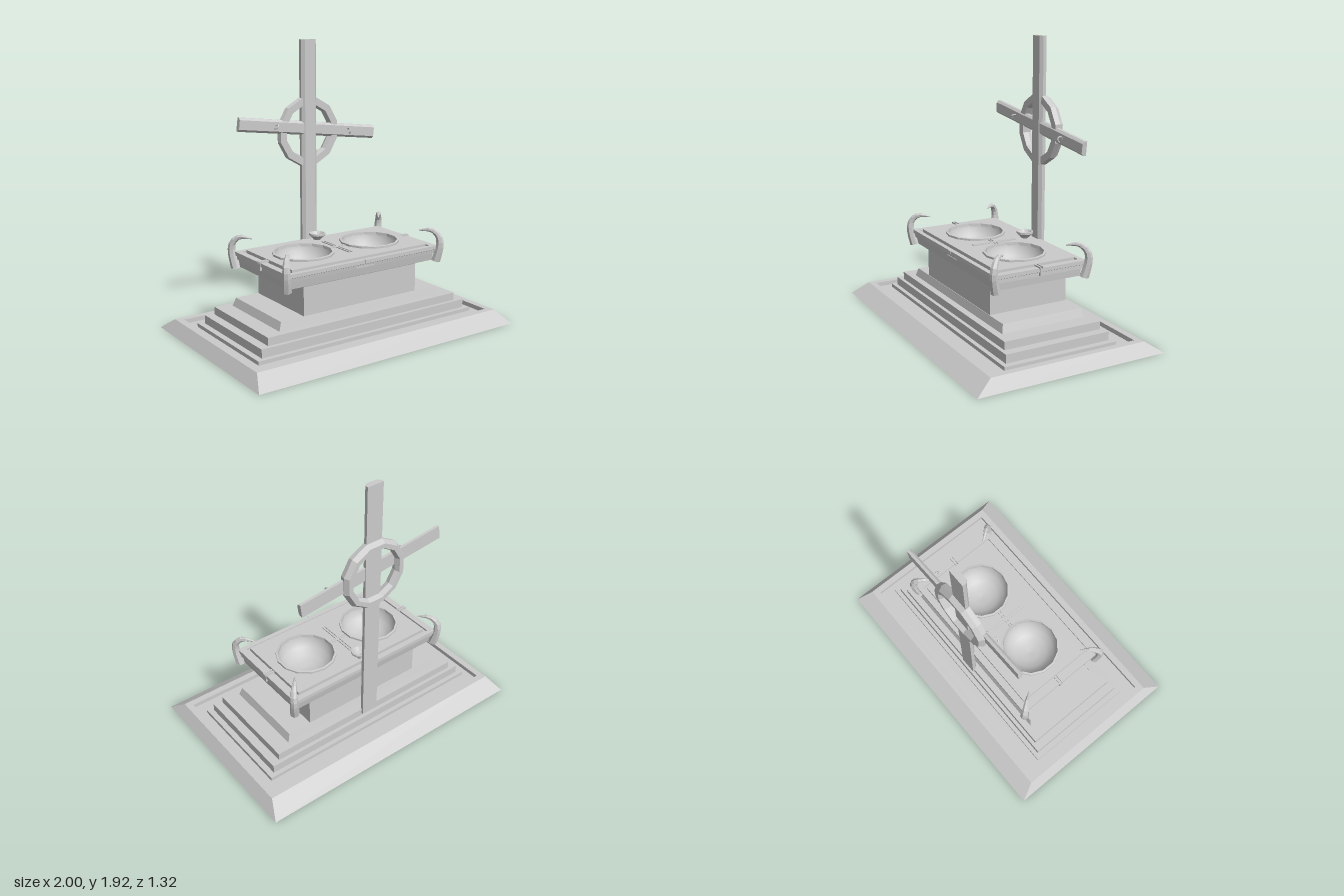
import * as THREE from 'three';

const mat = new THREE.MeshStandardMaterial({ color: 0xcccccc, flatShading: true, side: THREE.DoubleSide });
const smooth = new THREE.MeshStandardMaterial({ color: 0xcccccc, side: THREE.DoubleSide });

// Shell through rectangular cross-sections [halfX, halfZ, y]
function rectLoft(sections) {
  const pos = [];
  const ring = ([x, z, y]) => [[x, y, z], [x, y, -z], [-x, y, -z], [-x, y, z]];
  for (let s = 0; s < sections.length - 1; s++) {
    const a = ring(sections[s]), b = ring(sections[s + 1]);
    for (let i = 0; i < 4; i++) {
      const j = (i + 1) % 4;
      pos.push(...a[i], ...a[j], ...b[j], ...a[i], ...b[j], ...b[i]);
    }
  }
  const g = new THREE.BufferGeometry();
  g.setAttribute('position', new THREE.Float32BufferAttribute(pos, 3));
  g.computeVertexNormals();
  return g;
}

// Upright beam with chamfered front edges, front facing +z
function beam(width, depth, length) {
  const w = width / 2, d = depth / 2, c = width * 0.16;
  const s = new THREE.Shape([[-w, d], [-w, -d + c], [-w + c, -d], [w - c, -d], [w, -d + c], [w, d]]
    .map(p => new THREE.Vector2(...p)));
  return new THREE.ExtrudeGeometry(s, { depth: length, bevelEnabled: false }).rotateX(-Math.PI / 2);
}

// Tube along points, with a radius for each point
function taperedTube(points, radii, segments, sides) {
  const curve = new THREE.CatmullRomCurve3(points.map(p => new THREE.Vector3(...p)));
  const g = new THREE.TubeGeometry(curve, segments, 1, sides, false);
  const p = g.attributes.position, v = new THREE.Vector3();
  for (let i = 0; i <= segments; i++) {
    const c = curve.getPointAt(i / segments);
    const f = i / segments * (radii.length - 1), k = Math.min(Math.floor(f), radii.length - 2);
    const r = THREE.MathUtils.lerp(radii[k], radii[k + 1], f - k);
    for (let j = 0; j <= sides; j++) {
      const n = i * (sides + 1) + j;
      v.fromBufferAttribute(p, n).sub(c).multiplyScalar(r).add(c);
      p.setXYZ(n, v.x, v.y, v.z);
    }
  }
  g.computeVertexNormals();
  return g;
}

const lathe = (pts, n) => new THREE.LatheGeometry(pts.map(p => new THREE.Vector2(...p)), n);

export function createModel() {
  const model = new THREE.Group();
  const add = (name, geo, x = 0, y = 0, z = 0, m = mat) => {
    const mesh = new THREE.Mesh(geo, m);
    mesh.name = name;
    mesh.position.set(x, y, z);
    model.add(mesh);
    return mesh;
  };

  // Hollow plinth with a sunken border, then steps up to the pedestal foot
  add('steppedBase', rectLoft([
    [1, 0.66, 0], [0.945, 0.545, 0.08], [0.9, 0.5, 0.08], [0.9, 0.5, 0.05], [0.85, 0.4, 0.05],
    [0.85, 0.4, 0.075], [0.81, 0.37, 0.075], [0.81, 0.37, 0.132], [0.75, 0.345, 0.132],
    [0.75, 0.345, 0.185], [0.64, 0.298, 0.185], [0.62, 0.283, 0.24], [0.45, 0.28, 0.24],
  ]));
  add('pedestal', rectLoft([[0.45, 0.28, 0.24], [0.45, 0.28, 0.43], [0.465, 0.285, 0.44]]));

  // Moulded table edge with a groove around the raised panel
  add('tableEdge', rectLoft([
    [0.46, 0.285, 0.44], [0.575, 0.3, 0.44], [0.58, 0.31, 0.49], [0.59, 0.318, 0.49], [0.59, 0.322, 0.515],
    [0.6, 0.332, 0.52], [0.6, 0.332, 0.545], [0.555, 0.3, 0.545], [0.555, 0.3, 0.532],
    [0.535, 0.282, 0.532], [0.535, 0.282, 0.555],
  ]));

  // Table panel pierced by the two basins
  const panel = new THREE.Shape([[-0.535, -0.282], [0.535, -0.282], [0.535, 0.282], [-0.535, 0.282]]
    .map(p => new THREE.Vector2(...p)));
  for (const s of [-1, 1]) {
    const hole = new THREE.Path();
    hole.absarc(s * 0.27, 0, 0.195, 0, Math.PI * 2, true);
    panel.holes.push(hole);
  }
  add('tablePanel', new THREE.ShapeGeometry(panel, 14).rotateX(-Math.PI / 2), 0, 0.555, 0);

  // Basins with a thin faceted rim
  for (const s of [-1, 1]) {
    add('basinRim', lathe([[0.206, 0.553], [0.206, 0.568], [0.192, 0.57], [0.19, 0.55]], 14), s * 0.27);
    add('basinBowl', lathe([[0.19, 0.555], [0.183, 0.525], [0.16, 0.485], [0.115, 0.45], [0.06, 0.433], [0, 0.428]]
      .reverse(), 28), s * 0.27, 0, 0, smooth);
  }

  // Cross-shaped inlay between the basins
  for (const s of [-1, 1]) {
    add('inlayLong', new THREE.BoxGeometry(0.011, 0.008, 0.32), s * 0.01, 0.557, 0);
    add('inlayShort', new THREE.BoxGeometry(0.13, 0.008, 0.009), 0, 0.557, s * 0.009);
    add('sideClip', new THREE.BoxGeometry(0.07, 0.014, 0.009), 0.575, 0.548, s * 0.01);
    add('sideClip', new THREE.BoxGeometry(0.07, 0.014, 0.009), -0.575, 0.548, s * 0.01);
    add('sideTab', new THREE.BoxGeometry(0.02, 0.05, 0.022), s * 0.595, 0.52, 0);
  }
  add('frontTab', new THREE.BoxGeometry(0.022, 0.02, 0.02), 0, 0.537, 0.328);
  add('frontStrip', new THREE.BoxGeometry(0.14, 0.007, 0.012), 0, 0.5, 0.318);

  // Small cup in front of the post
  add('cup', lathe([[0, 0.555], [0.025, 0.556], [0.035, 0.57], [0.057, 0.588], [0.057, 0.602],
    [0.047, 0.602], [0.03, 0.58], [0, 0.57]], 12), 0, 0, -0.238);

  // Curled horns at the four corners
  for (const sx of [-1, 1]) for (const sz of [-1, 1]) {
    const pts = [[0.597, 0.32, 0.438], [0.607, 0.335, 0.5], [0.613, 0.343, 0.56], [0.608, 0.333, 0.61],
      [0.578, 0.297, 0.648], [0.525, 0.228, 0.642]].map(([x, z, y]) => [sx * x, y, sz * z]);
    add('cornerHorn', taperedTube(pts, [0.032, 0.029, 0.026, 0.021, 0.014, 0.004], 10, 7));
    const cap = add('hornFoot', new THREE.CircleGeometry(0.031, 7).rotateX(Math.PI / 2), pts[0][0], 0.438, pts[0][2]);
    cap.rotation.y = sx * sz * 0.9;
  }

  // Upright post and tilted crossbar
  add('post', beam(0.12, 0.042, 1.77), 0, 0.15, -0.336);
  const bar = new THREE.Group();
  bar.name = 'crossbar';
  bar.position.set(0, 1.318, -0.337);
  bar.rotation.z = -0.122;
  const barMesh = new THREE.Mesh(beam(0.093, 0.034, 1.1).translate(0, -0.55, 0).rotateZ(Math.PI / 2), mat);
  barMesh.name = 'crossbarBeam';
  bar.add(barMesh);
  // Small hooks on the crossbar front
  for (const [x, tilt] of [[-0.28, -0.7], [0.32, 0.1]]) {
    const hook = new THREE.Mesh(new THREE.TorusGeometry(0.018, 0.005, 5, 10, 4.6), mat);
    hook.name = 'crossbarHook';
    hook.position.set(x, 0, 0.032);
    hook.rotation.set(0, Math.PI / 2, tilt, 'ZYX');
    bar.add(hook);
  }
  model.add(bar);

  // Twelve-sided ring behind the crossing
  const ring = lathe([[0.19, -0.032], [0.222, -0.032], [0.242, 0], [0.236, 0.034], [0.187, 0.034],
    [0.176, 0], [0.19, -0.032]], 12).rotateX(Math.PI / 2).rotateZ(Math.PI / 12);
  add('ring', ring, 0, 1.297, -0.36);

  return model;
}
